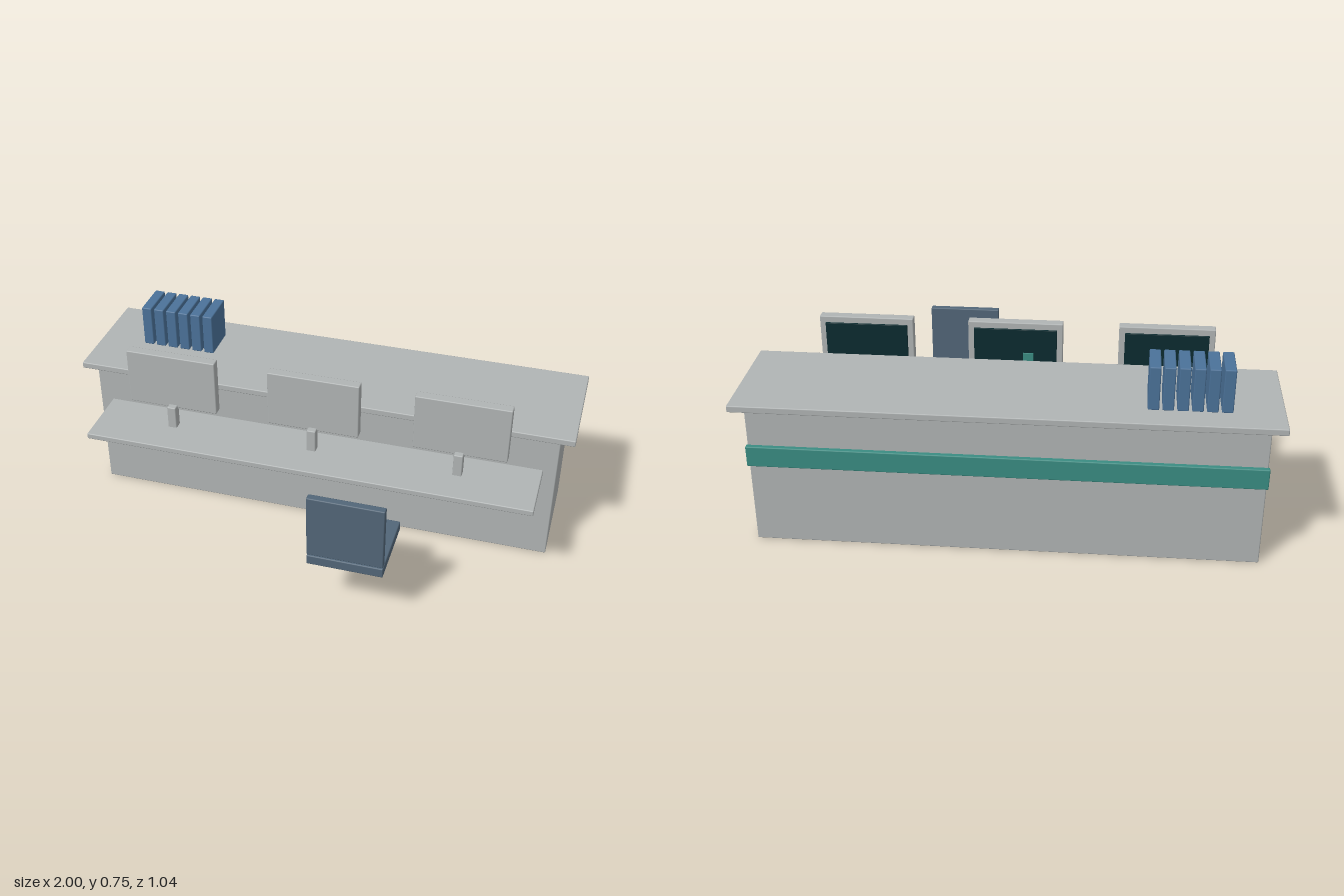
import * as THREE from 'three';
import { RoundedBoxGeometry } from 'three/addons/geometries/RoundedBoxGeometry.js';

function material(name, color) {
  const m = new THREE.MeshStandardMaterial({ color });
  m.name = name;
  return m;
}

export function createModel() {
  const model = new THREE.Group();
  model.name = 'receptionDesk';

  const grey = material('paleGrey', 0xb0b4b4);
  const blue = material('folderBlue', 0x4b7299);
  const slate = material('slateFabric', 0x526678);
  const teal = material('tealTrim', 0x3a8c82);
  const dark = material('screenDark', 0x0b2a2f);

  // Box with softly eased edges, given by its [min, max] range on each axis
  function box(parent, name, mat, [x0, x1], [y0, y1], [z0, z1]) {
    const w = x1 - x0, h = y1 - y0, d = z1 - z0;
    const r = Math.min(0.004, Math.min(w, h, d) * 0.2);
    const mesh = new THREE.Mesh(new RoundedBoxGeometry(w, h, d, 1, r), mat);
    mesh.position.set((x0 + x1) / 2, (y0 + y1) / 2, (z0 + z1) / 2);
    mesh.name = name;
    parent.add(mesh);
    return mesh;
  }

  function group(name) {
    const g = new THREE.Group();
    g.name = name;
    model.add(g);
    return g;
  }

  // Desk body, counter, work shelf and trim on the public side
  const desk = group('desk');
  box(desk, 'deskBody', grey, [-0.945, 0.945], [0, 0.556], [-0.49, -0.073]);
  box(desk, 'counterTop', grey, [-1, 1], [0.555, 0.581], [-0.518, -0.048]);
  box(desk, 'workShelf', grey, [-0.893, 0.893], [0.383, 0.407], [-0.08, 0.188]);
  box(desk, 'trimStrip', teal, [-0.95, 0.95], [0.327, 0.409], [-0.508, -0.485]);

  // Three monitors with stands; each screen carries a small indicator bar
  for (const x of [-0.58, 0, 0.58]) {
    const monitor = group('monitor');
    monitor.position.x = x;
    box(monitor, 'monitorCase', grey, [-0.183, 0.183], [0.488, 0.721], [-0.013, 0.027]);
    box(monitor, 'monitorStand', grey, [-0.018, 0.018], [0.345, 0.5], [0.013, 0.052]);
    box(monitor, 'screen', dark, [-0.16, 0.16], [0.512, 0.696], [-0.021, -0.012]);
    if (x === 0) box(monitor, 'screenBar', teal, [-0.07, -0.03], [0.515, 0.6], [-0.024, -0.018]);
  }

  // Row of folders standing on the counter
  const folders = group('folders');
  for (let i = 0; i < 6; i++) {
    const x = -0.812 + i * 0.0525;
    box(folders, 'folder', blue, [x, x + 0.041], [0.581, 0.75], [-0.414, -0.259]);
  }

  // Chair
  const chair = group('chair');
  box(chair, 'chairSeat', slate, [0.117, 0.406], [0.243, 0.283], [0.23, 0.516]);
  box(chair, 'chairBack', slate, [0.117, 0.406], [0.29, 0.551], [0.489, 0.518]);

  return model;
}
